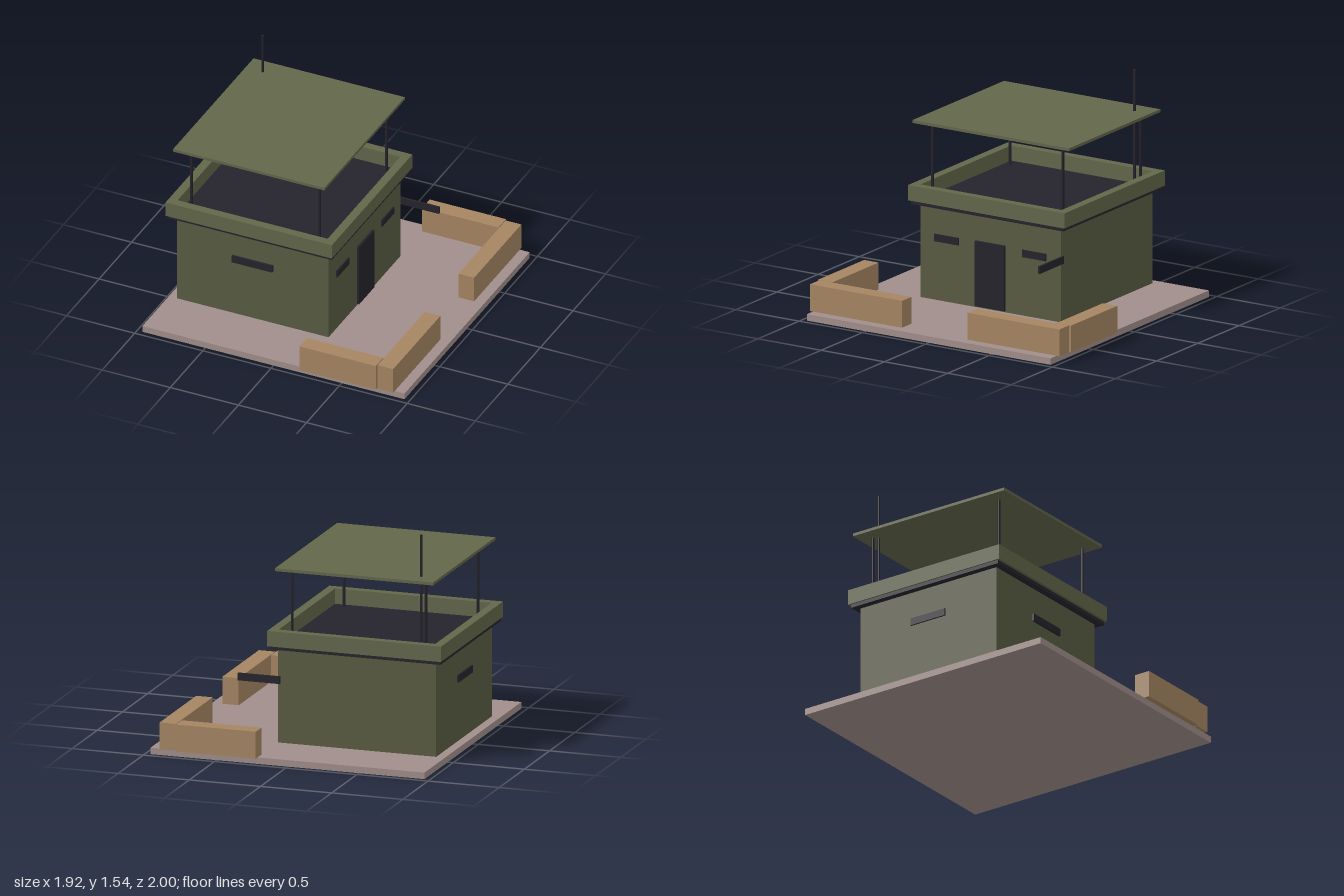
import * as THREE from 'three';

const material = (color) => new THREE.MeshStandardMaterial({ color, flatShading: true });

export function createModel() {
  const model = new THREE.Group();
  const ground = material(0xa08e8b);
  const wall = material(0x585b42);
  const trim = material(0x62664a);
  const dark = material(0x25232b);
  const sand = material(0xa58562);

  // Box given by its extents along each axis
  function box(name, mat, [x0, x1], [y0, y1], [z0, z1]) {
    const mesh = new THREE.Mesh(new THREE.BoxGeometry(x1 - x0, y1 - y0, z1 - z0), mat);
    mesh.position.set((x0 + x1) / 2, (y0 + y1) / 2, (z0 + z1) / 2);
    mesh.name = name;
    model.add(mesh);
  }

  function pole(name, radius, x, z, y0, y1) {
    const mesh = new THREE.Mesh(new THREE.CylinderGeometry(radius, radius, y1 - y0, 8), dark);
    mesh.position.set(x, (y0 + y1) / 2, z);
    mesh.name = name;
    model.add(mesh);
  }

  // Ground slab, guardhouse and roof deck
  box('groundSlab', ground, [-0.962, 0.962], [0, 0.045], [-0.962, 0.962]);
  box('walls', wall, [-0.9, 0.21], [0.045, 0.69], [-0.555, 0.555]);
  box('roofDeck', dark, [-0.945, 0.255], [0.69, 0.716], [-0.6, 0.6]);

  // Parapet ring around the deck
  const parapetY = [0.715, 0.82];
  box('parapetLeft', trim, [0.205, 0.265], parapetY, [-0.618, 0.618]);
  box('parapetRight', trim, [-0.955, -0.895], parapetY, [-0.618, 0.618]);
  box('parapetFront', trim, [-0.895, 0.205], parapetY, [0.558, 0.618]);
  box('parapetBack', trim, [-0.895, 0.205], parapetY, [-0.618, -0.558]);

  // Canopy, its four posts and the antenna
  box('canopy', trim, [-0.9, 0.21], [1.235, 1.255], [-0.618, 0.618]);
  for (const x of [-0.815, 0.125]) {
    for (const z of [-0.515, 0.515]) pole('canopyPost', 0.01, x, z, 0.716, 1.225);
  }
  pole('antenna', 0.009, -0.775, -0.495, 0.716, 1.54);

  // Door and viewing slits
  const slitY = [0.45, 0.5];
  box('door', dark, [0.2, 0.226], [0.055, 0.505], [-0.117, 0.117]);
  box('frontSlit', dark, [-0.495, -0.195], slitY, [0.55, 0.571]);
  box('rearSlitBar', dark, [0.195, 0.49], slitY, [-0.571, -0.555]);
  box('rightSlit', dark, [-0.911, -0.89], slitY, [-0.14, 0.14]);

  // Mirrored door-side slits and sandbag walls
  for (const s of [1, -1]) {
    const z = (a, b) => (s > 0 ? [a, b] : [-b, -a]);
    box('doorSideSlit', dark, [0.2, 0.22], slitY, z(0.252, 0.44));
    box('sandbagSide', sand, [0.21, 0.77], [0.045, 0.23], z(0.885, 1));
    box('sandbagEnd', sand, [0.775, 0.89], [0.045, 0.23], z(0.259, 0.985));
  }
  return model;
}
